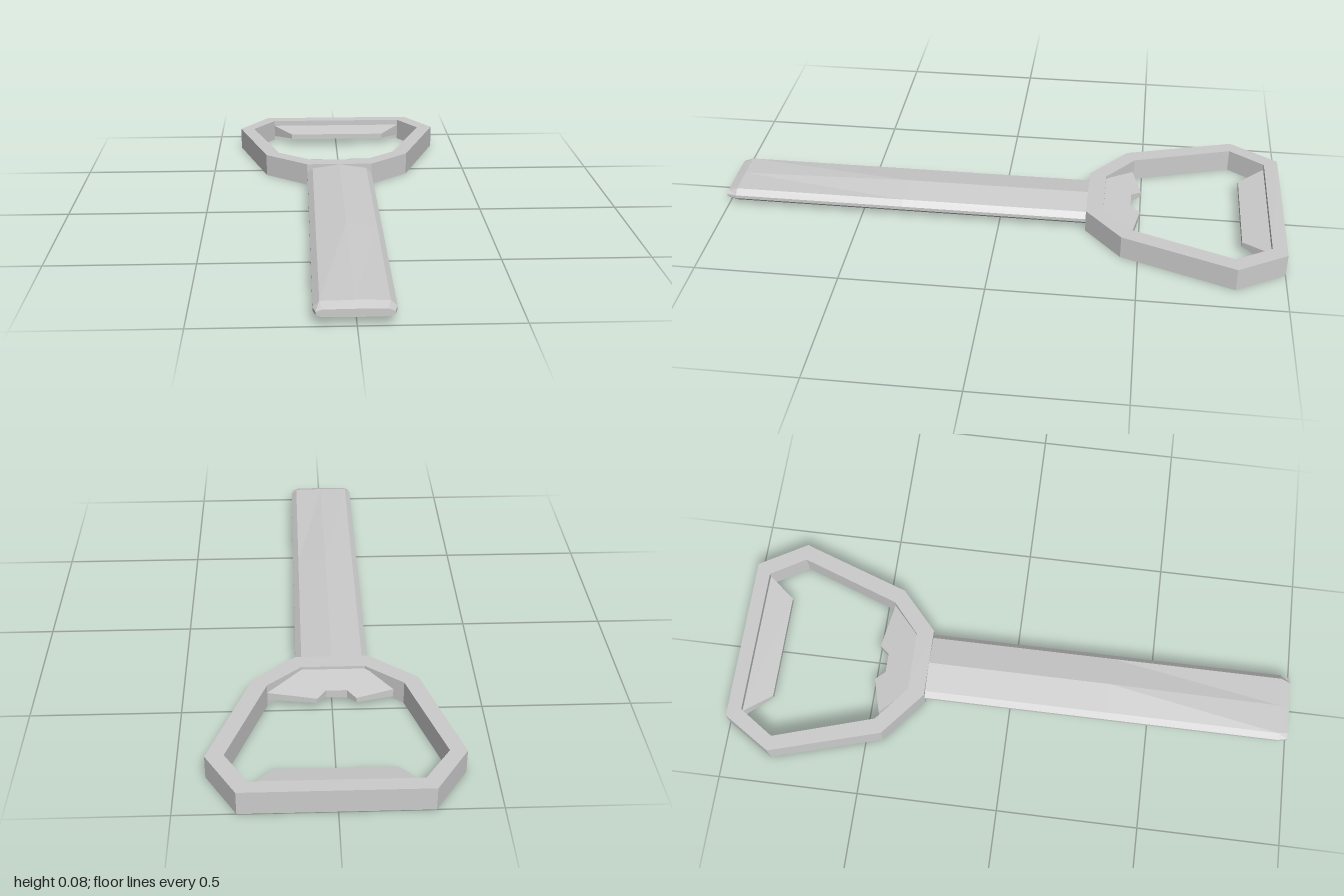
import * as THREE from 'three';

const T = 0.083; // full thickness
const material = new THREE.MeshStandardMaterial({ color: 0xcccccc, flatShading: true });

function part(name, geometry) {
  const mesh = new THREE.Mesh(geometry, material);
  mesh.name = name;
  return mesh;
}

// Extrudes an outline of [x, z] points upward from y = 0.
function plate(outline, height, hole) {
  const points = (list) => list.map(([x, z]) => new THREE.Vector2(x, z));
  const shape = new THREE.Shape(points(outline));
  if (hole) shape.holes.push(new THREE.Path(points(hole)));
  const geometry = new THREE.ExtrudeGeometry(shape, { depth: height, bevelEnabled: false });
  return geometry.rotateX(Math.PI / 2).translate(0, height, 0);
}

// Makes a unit-high plate into a wedge: [z, bottom, top] at its root and at its edge.
function wedge(geometry, root, edge) {
  const p = geometry.attributes.position;
  for (let i = 0; i < p.count; i++) {
    const t = (p.getZ(i) - root[0]) / (edge[0] - root[0]);
    const low = THREE.MathUtils.lerp(root[1], edge[1], t);
    const high = THREE.MathUtils.lerp(root[2], edge[2], t);
    p.setY(i, THREE.MathUtils.lerp(low, high, p.getY(i)));
  }
  geometry.computeVertexNormals();
  return geometry;
}

// Joins equal-length sections, given from back to front, and caps both ends.
function loft(sections) {
  const n = sections[0].length;
  const index = [];
  for (let s = 0; s < sections.length - 1; s++) {
    for (let i = 0; i < n; i++) {
      const a = s * n + i, b = s * n + (i + 1) % n;
      index.push(a, b, b + n, a, b + n, a + n);
    }
  }
  const last = (sections.length - 1) * n;
  for (let i = 1; i < n - 1; i++) {
    index.push(0, i + 1, i, last, last + i, last + i + 1);
  }
  const geometry = new THREE.BufferGeometry();
  geometry.setAttribute('position', new THREE.Float32BufferAttribute(sections.flat(2), 3));
  geometry.setIndex(index);
  const flat = geometry.toNonIndexed();
  flat.computeVertexNormals();
  return flat;
}

// Ten-sided handle section, counter-clockwise seen from the front.
function handleSection(z, half, shoulder, ridge, side) {
  const cx = -0.005, cy = T / 2;
  const upper = [[half, side], [half - 0.02, shoulder], [0, ridge], [0.02 - half, shoulder], [-half, side]];
  const lower = upper.map(([x, y]) => [-x, -y]);
  return [...upper, ...lower].map(([x, y]) => [cx + x, cy + y, z]);
}

export function createModel() {
  const group = new THREE.Group();
  group.name = 'bottleOpener';

  // Faceted head with a large opening
  group.add(part('headRing', plate(
    [[-0.295, -1], [0.305, -1], [0.405, -0.83], [0.265, -0.44],
      [0.12, -0.31], [-0.13, -0.31], [-0.29, -0.44], [-0.405, -0.83]],
    T,
    [[-0.265, -0.95], [0.27, -0.95], [0.345, -0.825], [0.215, -0.47],
      [0.1, -0.37], [-0.115, -0.37], [-0.24, -0.47], [-0.35, -0.825]],
  )));

  // Lip at the far end of the opening
  group.add(part('pryLip', wedge(
    plate([[-0.268, -0.953], [0.273, -0.953], [0.195, -0.855], [-0.19, -0.855]], 1),
    [-0.953, 0.015, 0.062], [-0.855, 0.03, 0.048],
  )));

  // Notched tongue that hooks under a cap
  group.add(part('toothedTongue', wedge(
    plate([[-0.205, -0.465], [-0.08, -0.5], [-0.05, -0.465], [0.02, -0.465],
      [0.05, -0.5], [0.215, -0.47], [0.1, -0.365], [-0.115, -0.365]], 1),
    [-0.365, 0.01, 0.073], [-0.5, 0.028, 0.046],
  )));

  // Ridged handle, thinning toward a bevelled tip
  group.add(part('handle', loft([
    handleSection(-0.33, 0.124, 0.024, 0.0405, 0.006),
    handleSection(0.35, 0.124, 0.024, 0.0405, 0.006),
    handleSection(0.965, 0.124, 0.024, 0.026, 0.006),
    handleSection(1, 0.116, 0.012, 0.013, 0.005),
  ])));

  return group;
}
